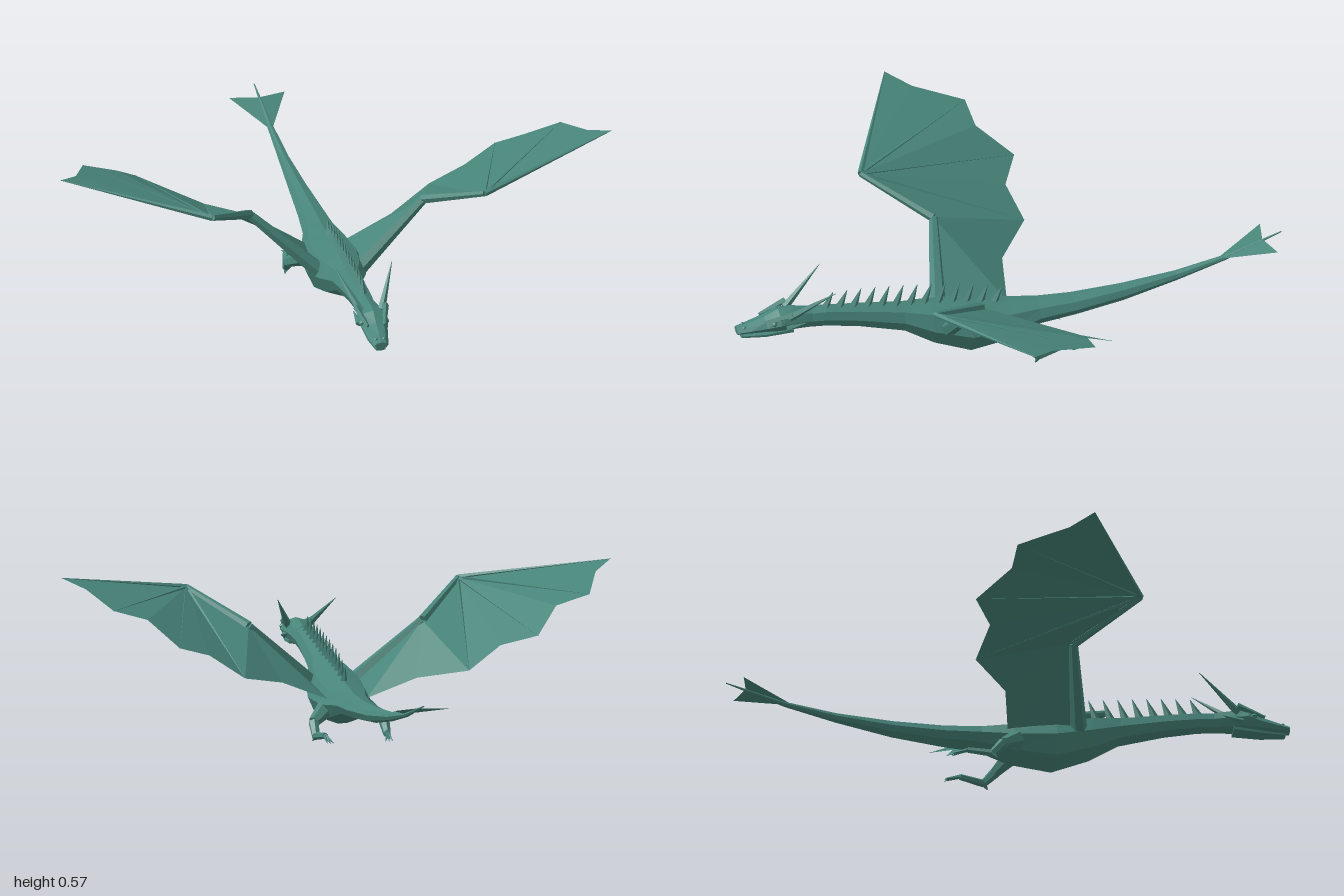
import * as THREE from 'three';

const scales = new THREE.MeshStandardMaterial({ color: 0x48857a });
scales.name = 'teal scales';
scales.flatShading = true;
scales.side = THREE.DoubleSide;

const V = (x, y, z) => new THREE.Vector3(x, y, z);

function part(name, geometry, parent) {
  const mesh = new THREE.Mesh(geometry, scales);
  mesh.name = name;
  parent.add(mesh);
  return mesh;
}

// Skin over cross-sections [z, centreX, bottomY, topY, halfWidth], ordered front to back
function loft(rings, sides = 8) {
  const pos = [], index = [];
  for (const [z, cx, lo, hi, w] of rings) {
    for (let i = 0; i < sides; i++) {
      const a = (i / sides) * Math.PI * 2;
      pos.push(cx + Math.sin(a) * w, (lo + hi) / 2 + Math.cos(a) * (hi - lo) / 2, z);
    }
  }
  for (let r = 0; r < rings.length - 1; r++) {
    for (let i = 0; i < sides; i++) {
      const j = (i + 1) % sides, a = r * sides + i, b = r * sides + j;
      index.push(a, b, a + sides, b, b + sides, a + sides);
    }
  }
  const last = (rings.length - 1) * sides;
  for (let i = 1; i < sides - 1; i++) {
    index.push(0, i + 1, i, last, last + i, last + i + 1);
  }
  return fromArrays(pos, index);
}

function fromArrays(pos, index) {
  const g = new THREE.BufferGeometry();
  g.setAttribute('position', new THREE.Float32BufferAttribute(pos, 3));
  g.setIndex(index);
  g.computeVertexNormals();
  return g;
}

// Thin sheet from points and triangles
function sheet(points, triangles) {
  return fromArrays(points.flatMap((p) => p.toArray()), triangles.flat());
}

// Tapered faceted rod between two points
function rod(a, b, r0, r1, sides = 5) {
  const dir = b.clone().sub(a);
  const g = new THREE.CylinderGeometry(r1, r0, dir.length(), sides);
  g.applyQuaternion(new THREE.Quaternion().setFromUnitVectors(V(0, 1, 0), dir.normalize()));
  const m = a.clone().add(b).multiplyScalar(0.5);
  return g.translate(m.x, m.y, m.z);
}

function addWing(group, s) {
  const wing = new THREE.Group();
  wing.name = s > 0 ? 'leftWing' : 'rightWing';
  const P = (x, y, z) => V(s * x, y, z);
  const shoulder = P(0.07, 0.155, 0.25), elbow = P(0.31, 0.375, 0.2);
  const wrist = P(0.485, 0.485, 0.415);
  // Scalloped trailing edge from tip to body
  const edge = [
    P(0.98, 0.57, 0.19), P(0.91, 0.54, 0.11), P(0.85, 0.49, -0.065), P(0.73, 0.455, -0.07),
    P(0.64, 0.37, -0.185), P(0.52, 0.33, -0.12), P(0.4, 0.25, -0.155), P(0.24, 0.21, -0.03),
    P(0.07, 0.14, 0.0),
  ];
  const n = edge.length, W = n, E = n + 1, S = n + 2;
  const tris = [];
  for (let i = 0; i < 6; i++) tris.push([W, i, i + 1]);
  tris.push([W, 6, E], [E, 6, 7], [E, 7, 8], [E, 8, S]);
  if (s < 0) tris.forEach((t) => t.reverse());
  part('wingMembrane', sheet([...edge, wrist, elbow, shoulder], tris), wing);

  part('upperArm', rod(shoulder, elbow, 0.03, 0.016, 6), wing);
  part('forearm', rod(elbow, wrist, 0.018, 0.011, 6), wing);
  part('leadingFinger', rod(wrist, edge[0], 0.011, 0.001), wing);
  for (const i of [2, 4, 6]) part('wingFinger', rod(wrist, edge[i], 0.008, 0.001, 4), wing);
  group.add(wing);
}

function addLeg(group, s) {
  const leg = new THREE.Group();
  leg.name = s > 0 ? 'leftLeg' : 'rightLeg';
  const P = (x, y, z) => V(s * x, y, z);
  const hip = P(0.07, 0.105, 0.03), knee = P(0.125, 0.065, -0.02);
  const ankle = P(0.127, 0.022, -0.06), ball = P(0.112, 0.036, -0.145);
  part('thigh', rod(hip, knee, 0.034, 0.02, 6), leg);
  part('shin', rod(knee, ankle, 0.02, 0.014, 6), leg);
  part('foot', rod(ankle, ball, 0.014, 0.011, 6), leg);
  for (const dx of [-0.012, 0, 0.012]) {
    part('claw', rod(ball, P(0.105 + dx, 0.018, -0.2), 0.008, 0.001, 4), leg);
  }
  part('heelClaw', rod(ankle, P(0.135, 0.003, -0.045), 0.012, 0.002, 4), leg);
  group.add(leg);
}

function addHead(group) {
  const head = new THREE.Group();
  head.name = 'head';
  part('skull', loft([
    [1.0, 0, 0.216, 0.24, 0.024], [0.96, 0, 0.217, 0.25, 0.032], [0.9, 0, 0.215, 0.268, 0.042],
    [0.85, 0, 0.212, 0.292, 0.055], [0.8, 0, 0.208, 0.292, 0.046], [0.73, 0, 0.205, 0.28, 0.036],
  ]), head);
  part('lowerJaw', loft([
    [0.985, 0, 0.201, 0.213, 0.02], [0.9, 0, 0.198, 0.215, 0.034], [0.8, 0, 0.203, 0.225, 0.04],
  ], 6), head);
  for (const s of [-1, 1]) {
    part('horn', rod(V(s * 0.036, 0.272, 0.815), V(s * 0.103, 0.385, 0.67), 0.015, 0.001), head);
    part('brow', rod(V(s * 0.03, 0.262, 0.91), V(s * 0.052, 0.29, 0.81), 0.006, 0.012, 4), head);
    part('eye', new THREE.IcosahedronGeometry(0.011, 0).translate(s * 0.043, 0.258, 0.872), head);
    part('cheekSpike', rod(V(s * 0.045, 0.235, 0.83), V(s * 0.052, 0.25, 0.76), 0.013, 0.001, 4), head);
    part('nostril', new THREE.IcosahedronGeometry(0.008, 0).translate(s * 0.014, 0.242, 0.975), head);
  }
  group.add(head);
}

export function createModel() {
  const dragon = new THREE.Group();
  dragon.name = 'dragon';

  // Neck, trunk and tail in one tapering skin
  const rings = [
    [0.78, 0, 0.208, 0.28, 0.036], [0.68, 0, 0.2, 0.277, 0.038], [0.56, 0, 0.178, 0.262, 0.043],
    [0.4, 0, 0.135, 0.24, 0.054], [0.3, 0, 0.075, 0.232, 0.085], [0.17, 0, 0.025, 0.218, 0.105],
    [0.02, 0, 0.05, 0.188, 0.092], [-0.09, 0, 0.09, 0.175, 0.062], [-0.22, -0.003, 0.1, 0.17, 0.05],
    [-0.4, -0.014, 0.118, 0.174, 0.035], [-0.6, -0.028, 0.155, 0.188, 0.02],
    [-0.78, -0.04, 0.198, 0.216, 0.011], [-0.99, -0.055, 0.268, 0.272, 0.002],
  ];
  part('body', loft(rings), dragon);

  // Row of swept-back spines following the back line
  const backY = (z) => {
    const i = rings.findIndex((r, k) => k > 0 && r[0] <= z);
    const a = rings[i - 1], b = rings[i];
    return THREE.MathUtils.lerp(a[3], b[3], (a[0] - z) / (a[0] - b[0]));
  };
  for (let i = 0; i < 13; i++) {
    const z = 0.68 - i * 0.051;
    const h = 0.045 + 0.025 * Math.sin((i + 1) / 14 * Math.PI);
    const spine = rod(V(0, 0, 0), V(0, h + 0.012, -0.03), 0.017, 0.001, 4);
    part('backSpine', spine.scale(0.8, 1, 1).translate(0, backY(z) - 0.012, z), dragon);
  }

  // Flat fin at the tail tip
  part('tailFin', sheet(
    [V(-0.04, 0.205, -0.75), V(-0.155, 0.25, -0.94), V(-0.052, 0.252, -0.92), V(0.045, 0.25, -0.95)],
    [[0, 2, 1], [0, 3, 2]]), dragon);

  addHead(dragon);
  for (const s of [-1, 1]) {
    addWing(dragon, s);
    addLeg(dragon, s);
  }
  return dragon;
}
